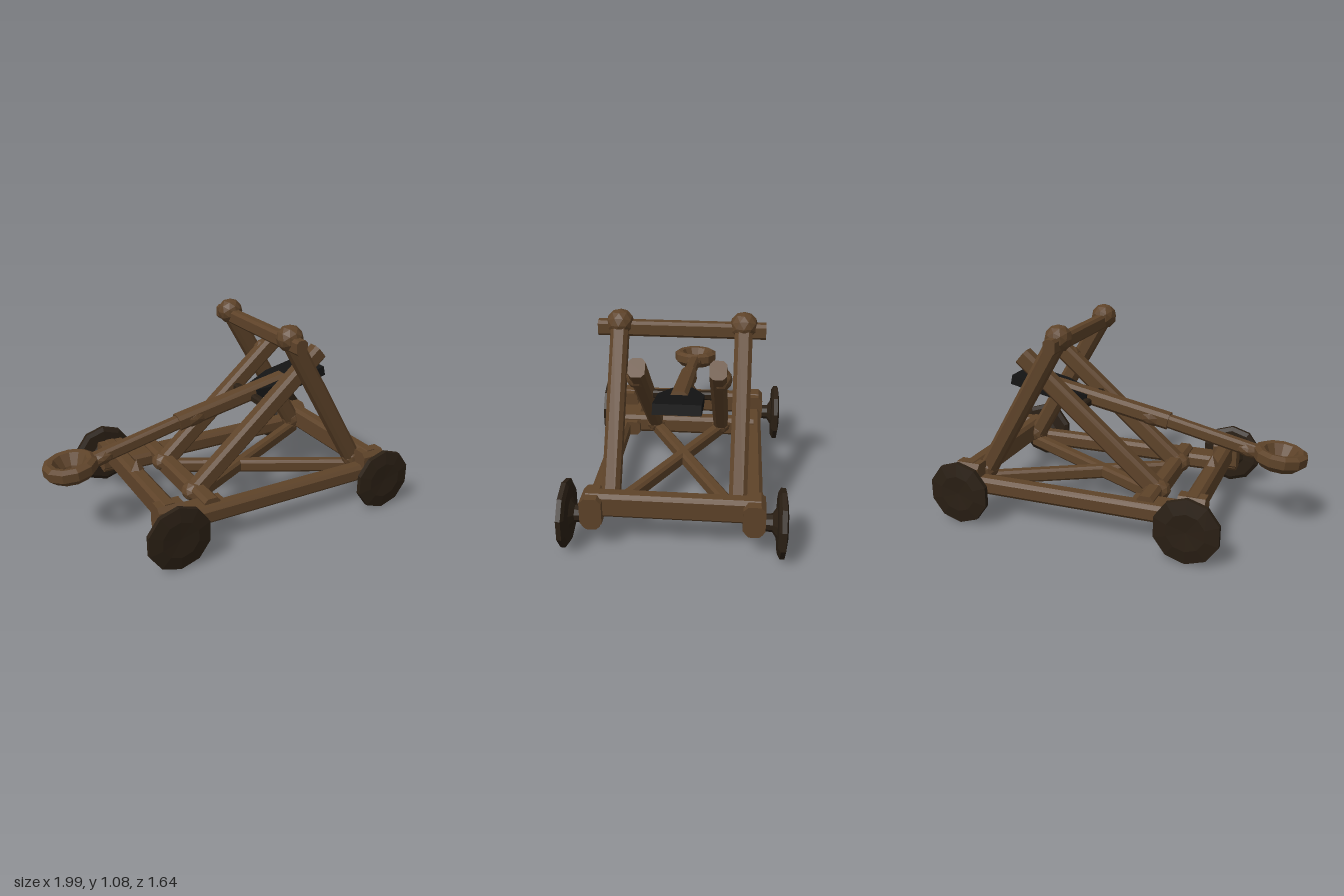
import * as THREE from 'three';

const wood = new THREE.MeshStandardMaterial({ color: 0x5e4329, flatShading: true });
const darkWood = new THREE.MeshStandardMaterial({ color: 0x2a1f14, flatShading: true });
const iron = new THREE.MeshStandardMaterial({ color: 0x141414, flatShading: true });
const V = (x, y, z) => new THREE.Vector3(x, y, z);
const points = list => list.map(p => new THREE.Vector2(...p));
const MID = -0.022; // centre line of the frame

function add(parent, name, geometry, material = wood) {
  const mesh = new THREE.Mesh(geometry, material);
  mesh.name = name;
  parent.add(mesh);
  return mesh;
}

// Timber with chamfered edges from a to b; w is across, h is upright
function beam(parent, name, a, b, w, h, material = wood) {
  const c = Math.min(w, h) * 0.22, x = w / 2, y = h / 2;
  const shape = new THREE.Shape(points([
    [-x + c, -y], [x - c, -y], [x, -y + c], [x, y - c],
    [x - c, y], [-x + c, y], [-x, y - c], [-x, -y + c],
  ]));
  const geometry = new THREE.ExtrudeGeometry(shape, { depth: a.distanceTo(b), bevelEnabled: false });
  // Aim in the parent's own frame
  const aim = new THREE.Object3D();
  aim.lookAt(b.clone().sub(a));
  const mesh = add(parent, name, geometry, material);
  mesh.position.copy(a);
  mesh.quaternion.copy(aim.quaternion);
}

// Low-poly knob where timbers meet
function knob(parent, name, p, sx, sy, sz) {
  const mesh = add(parent, name, new THREE.IcosahedronGeometry(1, 1));
  mesh.scale.set(sx, sy, sz);
  mesh.position.copy(p);
  return mesh;
}

export function createModel() {
  const model = new THREE.Group();
  model.name = 'catapult';
  const body = new THREE.Group();
  body.name = 'body';
  body.rotation.y = THREE.MathUtils.degToRad(-23.3);
  model.add(body);

  // Axle timbers, and the sill that carries the braces
  for (const [name, x] of [['rearCrossbeam', -0.587], ['frontCrossbeam', 0.667]]) {
    beam(body, name, V(x, 0.245, MID - 0.43), V(x, 0.245, MID + 0.43), 0.085, 0.13);
  }
  beam(body, 'braceSill', V(-0.335, 0.2, MID - 0.4), V(-0.335, 0.2, MID + 0.4), 0.09, 0.11);
  const rest = add(body, 'armRest', new THREE.ConeGeometry(0.04, 0.06, 5));
  rest.position.set(-0.587, 0.335, MID);

  // Wheel profile: flared hub inside, thin rim, shallow dish outside
  const wheelProfile = points([
    [0, -0.1], [0.042, -0.1], [0.046, -0.05], [0.08, -0.028],
    [0.15, -0.025], [0.173, -0.012], [0.172, 0.012], [0.1, 0.024], [0, 0.018],
  ]);

  for (const s of [-1, 1]) {
    const at = (x, y, z) => V(x, y, MID + s * z);

    // Side rail with blocks over the axles, widened at the rear corner
    beam(body, 'sideRail', at(-0.65, 0.18, 0.4), at(0.74, 0.18, 0.4), 0.09, 0.095);
    beam(body, 'rearGusset', at(-0.57, 0.185, 0.345), at(-0.26, 0.185, 0.345), 0.1, 0.085);
    for (const x of [-0.59, 0.667]) {
      beam(body, 'cornerBlock', at(x - 0.065, 0.225, 0.4), at(x + 0.075, 0.225, 0.4), 0.11, 0.16);
      const axle = add(body, 'axle', new THREE.CylinderGeometry(0.035, 0.04, 0.14, 8));
      axle.rotation.x = Math.PI / 2;
      axle.position.copy(at(x, 0.178, 0.45));
      const wheel = add(body, 'wheel', new THREE.LatheGeometry(wheelProfile, 10), darkWood);
      wheel.rotation.x = s * Math.PI / 2;
      wheel.position.copy(at(x, 0.176, 0.54));
    }

    // Leaning post with a lumpy head and foot
    beam(body, 'post', at(0.635, 0.2, 0.317), at(0.142, 1.05, 0.317), 0.09, 0.095);
    knob(body, 'postHead', at(0.162, 1.015, 0.317), 0.072, 0.072, 0.072);
    knob(body, 'postFoot', at(0.62, 0.235, 0.32), 0.065, 0.065, 0.06);

    // Rising brace
    beam(body, 'brace', at(-0.35, 0.2, 0.2), at(0.43, 0.875, 0.2), 0.085, 0.1);
    knob(body, 'braceFoot', at(-0.335, 0.21, 0.2), 0.08, 0.06, 0.07);
    knob(body, 'braceKnot', at(0.33, 0.785, 0.215), 0.06, 0.06, 0.055);

    // Diagonal floor brace
    beam(body, 'floorBrace', at(-0.33, 0.18, 0.2), at(0.63, 0.18, -0.32), 0.065, 0.075);
  }

  // Top bar through the post heads
  beam(body, 'topBar', V(0.165, 0.99, MID - 0.43), V(0.165, 0.99, MID + 0.43), 0.065, 0.08);

  // Throwing arm
  const arm = new THREE.Group();
  arm.name = 'throwingArm';
  body.add(arm);
  beam(arm, 'armShaft', V(-0.84, 0.415, MID), V(-0.25, 0.55, MID), 0.065, 0.07);
  beam(arm, 'armButt', V(-0.34, 0.53, MID), V(0.33, 0.665, MID), 0.09, 0.085);
  knob(arm, 'armKnot', V(-0.24, 0.545, MID), 0.09, 0.05, 0.055).rotation.z = 0.22;
  knob(arm, 'armNeck', V(-0.78, 0.425, MID), 0.08, 0.04, 0.05).rotation.z = 0.22;
  beam(arm, 'pivot', V(0.12, 0.6, MID - 0.2), V(0.12, 0.6, MID + 0.2), 0.045, 0.045, darkWood);

  // Ring-shaped cup, closed profile
  const cupProfile = points([
    [0.045, -0.045], [0.105, -0.045], [0.141, -0.01], [0.141, 0.035],
    [0.115, 0.05], [0.09, 0.045], [0.055, -0.015], [0.045, -0.045],
  ]);
  const cup = add(arm, 'cup', new THREE.LatheGeometry(cupProfile, 11));
  cup.position.set(-0.943, 0.402, MID);
  cup.rotation.z = 0.1;

  // Counterweight slab, narrowing to a neck on the arm
  const slabShape = new THREE.Shape(points([
    [0.13, -0.12], [0.13, 0.12], [-0.12, 0.12], [-0.3, 0.05], [-0.3, -0.05], [-0.12, -0.12],
  ]));
  const slabGeometry = new THREE.ExtrudeGeometry(slabShape, { depth: 0.055, bevelEnabled: false });
  slabGeometry.translate(0, 0, -0.0275).rotateX(-Math.PI / 2);
  const slab = add(arm, 'counterweight', slabGeometry, iron);
  slab.position.set(0.42, 0.682, MID - 0.008);
  slab.rotation.z = 0.22;

  return model;
}
